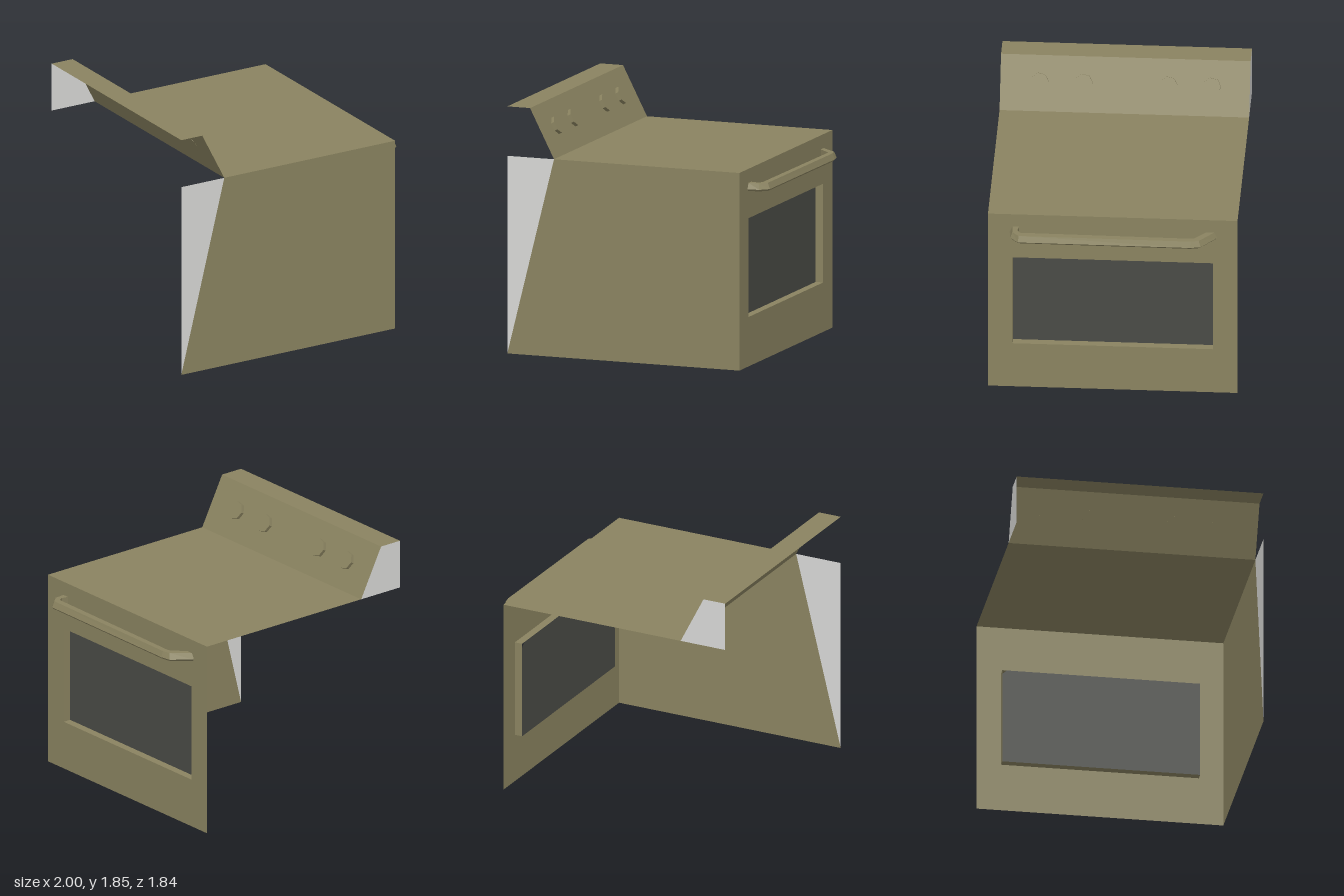
import * as THREE from 'three';

const mat = (name, color) => {
  const m = new THREE.MeshStandardMaterial({ color, side: THREE.DoubleSide, flatShading: true });
  m.name = name;
  return m;
};

// polygon from [x, y] points, with an optional hole
function polygon(points, hole) {
  const toV = (p) => new THREE.Vector2(p[0], p[1]);
  const shape = new THREE.Shape(points.map(toV));
  if (hole) shape.holes.push(new THREE.Path(hole.map(toV)));
  return new THREE.ShapeGeometry(shape);
}

// flat strip that runs along z between two [x, y] points
function strip([x0, y0], [x1, y1], half) {
  const g = new THREE.BufferGeometry();
  g.setAttribute('position', new THREE.Float32BufferAttribute(
    [x0, y0, half, x0, y0, -half, x1, y1, -half, x1, y1, half], 3));
  g.setIndex([0, 1, 2, 0, 2, 3]);
  g.computeVertexNormals();
  return g;
}

// skin over closed cross-sections, capped at both ends
function loft(rings) {
  const n = rings[0].length, index = [];
  for (let i = 0; i < rings.length - 1; i++) {
    for (let j = 0; j < n; j++) {
      const a = i * n + j, b = i * n + (j + 1) % n;
      index.push(a, b, a + n, b, b + n, a + n);
    }
  }
  const last = (rings.length - 1) * n;
  for (let j = 1; j < n - 1; j++) index.push(0, j + 1, j, last, last + j, last + j + 1);
  const g = new THREE.BufferGeometry();
  g.setAttribute('position', new THREE.Float32BufferAttribute(rings.flat(2), 3));
  g.setIndex(index);
  const flat = g.toNonIndexed();
  flat.computeVertexNormals();
  return flat;
}

export function createModel() {
  const model = new THREE.Group();
  model.name = 'stove';
  const olive = mat('olive enamel', 0x8a8360);
  const glass = mat('dark glass', 0x4a4b46);
  const grey = mat('pale grey', 0xd8d8d6);
  const add = (name, geometry, material, parent = model) => {
    const mesh = new THREE.Mesh(geometry, material);
    mesh.name = name;
    parent.add(mesh);
    return mesh;
  };

  const back = -1, front = 0.84, half = 0.92, height = 1.48, top = 1.85;
  const slopeLow = [-0.63, height], slopeHigh = [-0.82, top];

  // open body shell: one side wall, cooktop and backsplash
  add('sideWall', polygon([[back, 0], [front, 0], [front, height], slopeLow]), olive).position.z = half;
  add('sideWallRear', polygon([[back, 0], slopeLow, [back, height]]), grey).position.z = half;
  add('cooktop', strip([front, height], slopeLow, half), olive);
  add('controlPanel', strip(slopeLow, slopeHigh, half), olive);
  add('backsplashTop', strip(slopeHigh, [back, top], half), olive);
  add('backsplashEnd', polygon([[back, height], slopeLow, slopeHigh, [back, top]]), grey).position.z = -half;

  // door wall with a window opening; local x runs towards -z
  const w = 0.738, y0 = 0.37, y1 = 1.11, depth = 0.06;
  const opening = [[-w, y0], [w, y0], [w, y1], [-w, y1]];
  const door = new THREE.Group();
  door.name = 'door';
  door.rotation.y = Math.PI / 2;
  door.position.x = front;
  model.add(door);
  add('doorWall', polygon([[-half, 0], [half, 0], [half, height], [-half, height]], opening), olive, door);
  add('windowGlass', polygon([[-w, y0], [w, y0], [w, y1 - 0.03], [w - 0.035, y1], [-w, y1]]), glass, door)
    .position.z = -depth;

  // recess walls around the window
  for (let i = 0; i < 4; i++) {
    const [ax, ay] = opening[i], [bx, by] = opening[(i + 1) % 4];
    const g = new THREE.BufferGeometry();
    g.setAttribute('position', new THREE.Float32BufferAttribute(
      [ax, ay, 0, bx, by, 0, bx, by, -depth, ax, ay, -depth], 3));
    g.setIndex([0, 1, 2, 0, 2, 3]);
    g.computeVertexNormals();
    add('windowRecess', g, olive, door);
  }

  // slightly uneven door handle: [outer x, outer z, inner x, inner z]
  const stations = [
    [0.84, -0.77, 0.84, -0.69],
    [0.98, -0.655, 0.93, -0.605],
    [0.995, -0.58, 0.937, -0.58],
    [0.99, 0.69, 0.925, 0.68],
    [0.93, 0.75, 0.89, 0.70],
    [0.84, 0.76, 0.84, 0.69],
  ];
  // cross-section: [share of the way from inner to outer, y]
  const section = [[0, 1.32], [0, 1.375], [0.72, 1.375], [1, 1.33], [0.8, 1.316]];
  add('handle', loft(stations.map(([ox, oz, ix, iz]) =>
    section.map(([t, y]) => [ix + (ox - ix) * t, y, iz + (oz - iz) * t]))), olive);

  // seven-sided knobs standing off the sloped panel
  const dx = height - top, dy = slopeHigh[0] - slopeLow[0];
  const normal = new THREE.Vector2(-dx, -dy).normalize();
  const knobGeo = new THREE.CylinderGeometry(0.068, 0.068, 0.026, 7, 1, false, Math.PI);
  const knobY = 1.675;
  const knobX = slopeLow[0] + dy * (knobY - height) / (top - height);
  for (const z of [0.63, 0.305, -0.32, -0.64]) {
    const knob = add('knob', knobGeo, olive);
    knob.position.set(knobX + normal.x * 0.012, knobY + normal.y * 0.012, z);
    knob.rotation.z = -Math.atan2(normal.x, normal.y);
  }
  return model;
}
